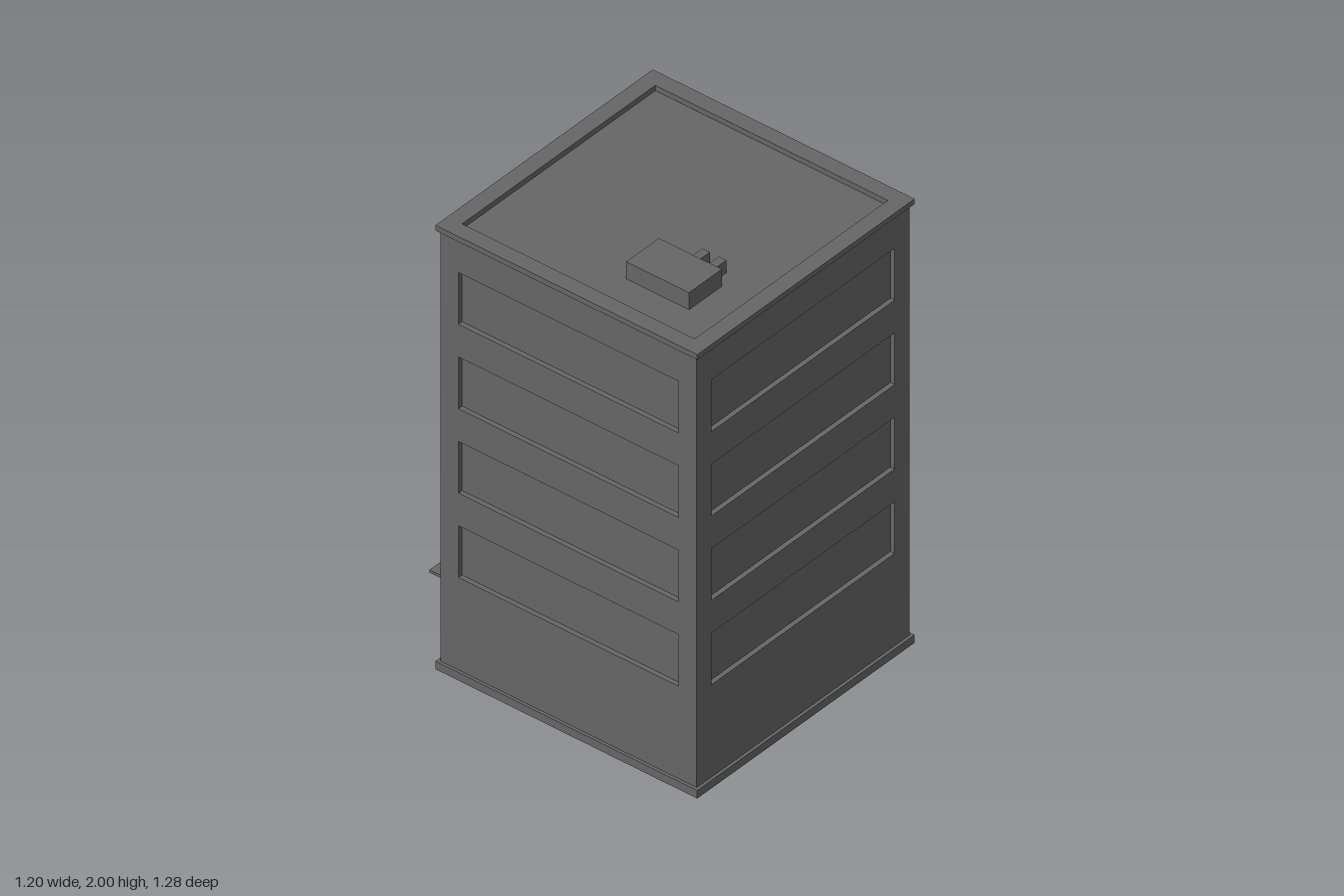
import * as THREE from 'three';

const R = 0.5875;        // half width of the square tower
const B = 0.6;           // half width of plinth and cornice
const CZ = 0.04;         // tower centre in z (the canopy sticks out behind)
const ROOF = 1.925;
const DEPTH = 0.02;      // recess of windows and door
const DOOR = 0.15;       // half width of the doorway

const mat = new THREE.MeshStandardMaterial({ color: 0x666666, flatShading: true, side: THREE.DoubleSide });

function add(parent, name, geometry, x = 0, y = 0, z = 0) {
  const mesh = new THREE.Mesh(geometry, mat);
  mesh.name = name;
  mesh.position.set(x, y, z);
  parent.add(mesh);
  return mesh;
}

// Box given by its limits
function block(parent, name, x0, x1, y0, y1, z0, z1) {
  add(parent, name, new THREE.BoxGeometry(x1 - x0, y1 - y0, z1 - z0),
    (x0 + x1) / 2, (y0 + y1) / 2, (z0 + z1) / 2);
}

// Closed outline through a few points
function outline(path, points) {
  points.forEach(([x, y], i) => (i ? path.lineTo(x, y) : path.moveTo(x, y)));
  path.closePath();
  return path;
}

function rectangle(path, x0, x1, y0, y1) {
  return outline(path, [[x0, y0], [x1, y0], [x1, y1], [x0, y1]]);
}

function extrude(shape, depth) {
  return new THREE.ExtrudeGeometry(shape, { depth, bevelEnabled: false });
}

// Pane set back behind the wall plane, with its reveals
function recess(parent, name, [x0, x1, y0, y1]) {
  const w = x1 - x0, h = y1 - y0, cx = (x0 + x1) / 2, cy = (y0 + y1) / 2;
  add(parent, name + 'Pane', new THREE.PlaneGeometry(w, h), cx, cy, R - DEPTH);
  for (const s of [-1, 1]) {
    const jamb = add(parent, name + 'Jamb', new THREE.PlaneGeometry(DEPTH, h), cx + s * w / 2, cy, R - DEPTH / 2);
    jamb.rotation.y = -s * Math.PI / 2;
    if (s < 0 && y0 === 0) continue; // a doorway has no sill
    const ledge = add(parent, name + 'Ledge', new THREE.PlaneGeometry(w, DEPTH), cx, cy + s * h / 2, R - DEPTH / 2);
    ledge.rotation.x = s * Math.PI / 2;
  }
}

// One facade facing local +z; the entrance facade also has a door and shop windows
function facade(name, entrance) {
  const wall = new THREE.Group();
  wall.name = name;
  const windows = [];
  for (let i = 0; i < 4; i++) {
    const y = 0.44 + i * 0.3705;
    windows.push([-0.505, 0.505, y, y + 0.227]);
  }
  if (entrance) windows.push([-0.505, -0.23, 0.07, 0.297], [0.23, 0.505, 0.07, 0.297]);

  const doorway = entrance ? [[-DOOR, 0], [-DOOR, 0.297], [DOOR, 0.297], [DOOR, 0]] : [];
  const shape = outline(new THREE.Shape(), [[-R, 0], ...doorway, [R, 0], [R, ROOF], [-R, ROOF]]);
  for (const w of windows) shape.holes.push(rectangle(new THREE.Path(), ...w));

  add(wall, 'wall', new THREE.ShapeGeometry(shape), 0, 0, R);
  for (const w of windows) recess(wall, 'window', w);
  if (entrance) recess(wall, 'door', [-DOOR, DOOR, 0, 0.297]);

  // Plinth along the foot, mitred at the corners and broken at the doorway
  const runs = entrance ? [[-B, -DOOR], [DOOR, B]] : [[-B, B]];
  for (const [a, b] of runs) {
    const run = outline(new THREE.Shape(),
      [[a, -B], [b, -B], [Math.min(b, R), -R], [Math.max(a, -R), -R]]);
    add(wall, 'plinth', extrude(run, 0.035).rotateX(-Math.PI / 2));
  }
  return wall;
}

export function createModel() {
  const model = new THREE.Group();
  model.name = 'officeBuilding';

  // Tower
  const tower = new THREE.Group();
  tower.name = 'tower';
  tower.position.z = CZ;
  model.add(tower);
  ['frontFacade', 'leftFacade', 'backFacade', 'rightFacade'].forEach((name, i) => {
    const wall = facade(name, i === 2);
    wall.rotation.y = i * Math.PI / 2;
    tower.add(wall);
  });

  // Sunken roof inside the cornice
  const roof = add(tower, 'roof', new THREE.PlaneGeometry(1.066, 1.066), 0, ROOF, 0);
  roof.rotation.x = -Math.PI / 2;
  const rim = rectangle(new THREE.Shape(), -B, B, -B, B);
  rim.holes.push(rectangle(new THREE.Path(), -0.533, 0.533, -0.533, 0.533));
  add(tower, 'cornice', extrude(rim, 0.023).rotateX(-Math.PI / 2), 0, ROOF, 0);

  // Entrance canopy
  block(model, 'canopy', -0.537, 0.537, 0.35, 0.362, -0.64, CZ - R);

  // Rooftop unit with two elbow ducts
  block(model, 'rooftopUnit', -0.39, -0.209, ROOF, 2, 0.14, 0.428);
  const elbow = outline(new THREE.Shape(),
    [[0, 0.02], [0.036, 0.02], [0.036, 0], [0.072, 0], [0.072, 0.055], [0, 0.055]]);
  const ductGeometry = extrude(elbow, 0.035);
  for (const z of [0.279, 0.354]) add(model, 'duct', ductGeometry, -0.209, ROOF, z);

  return model;
}
